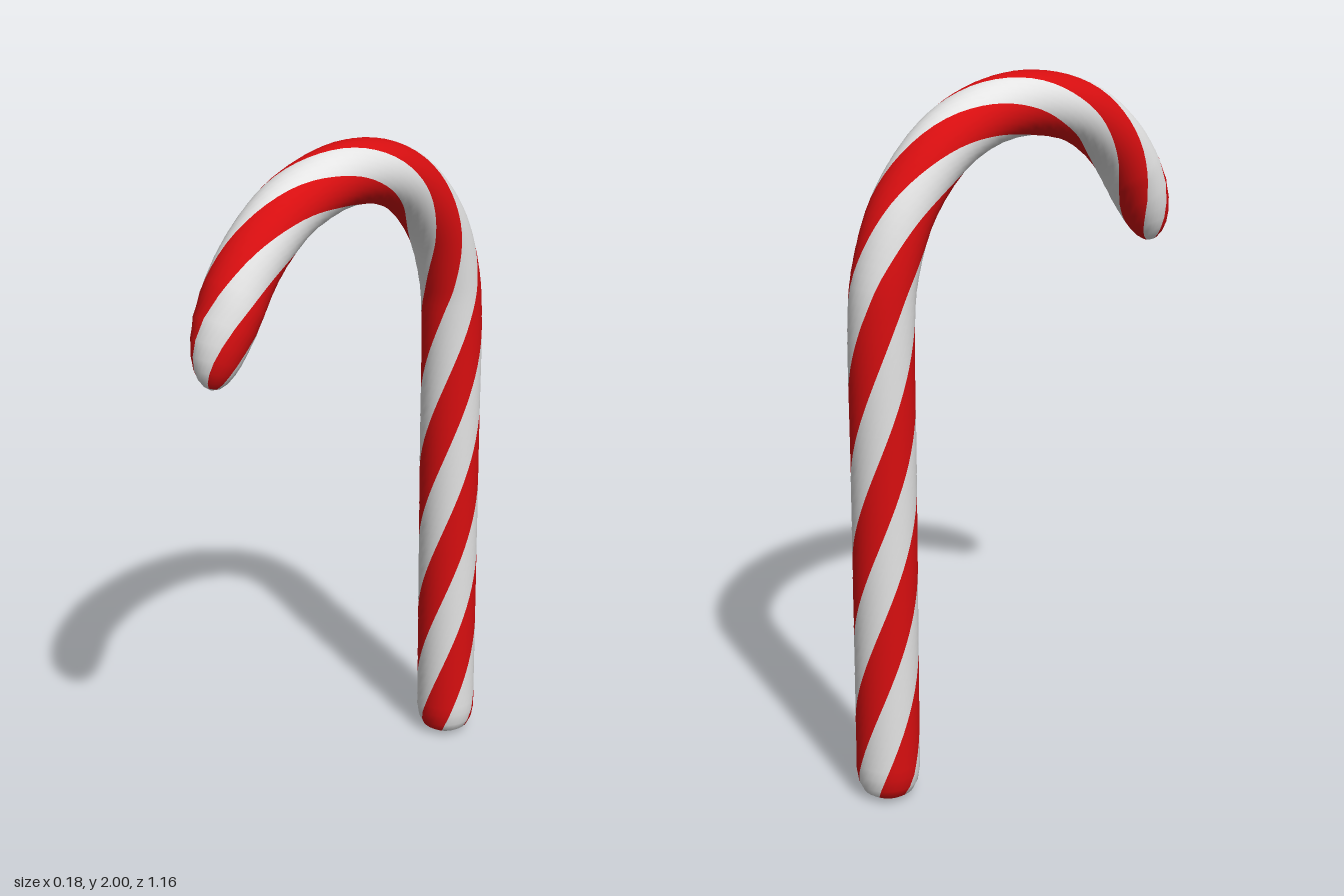
import * as THREE from 'three';

const STRIPES = 6;          // three red and three white, alternating
const PER_STRIPE = 5;       // facets across one stripe
const SIDES = STRIPES * PER_STRIPE;
const TWIST = THREE.MathUtils.degToRad(250);   // stripe turn per unit of length
const PHASE = THREE.MathUtils.degToRad(-34.5); // first edge of the first red stripe

// Centre line as [z, y]: straight stem, then the hook, slightly wider towards the tip
const PATH = [
  [-0.49, 0], [-0.485, 0.5], [-0.48, 1], [-0.476, 1.4], [-0.462, 1.515], [-0.4, 1.68],
  [-0.277, 1.82], [-0.146, 1.888], [0, 1.912], [0.13, 1.897], [0.255, 1.853],
  [0.385, 1.752], [0.475, 1.62], [0.512, 1.535], [0.535, 1.45],
];

// Rounded ends as [distance from the end, radius]
const FOOT = [[0, 0], [0.003, 0.035], [0.008, 0.055], [0.02, 0.072], [0.045, 0.084], [0.08, 0.09]];
const TIP = [[0.23, 0.088], [0.17, 0.085], [0.12, 0.077], [0.08, 0.067], [0.05, 0.055], [0.025, 0.04], [0.008, 0.022], [0, 0]];

export function createModel() {
  const red = new THREE.MeshStandardMaterial({ color: 0xd80e10 });
  red.name = 'candy red';
  const white = new THREE.MeshStandardMaterial({ color: 0xe4e4e4 });
  white.name = 'sugar white';

  const curve = new THREE.CatmullRomCurve3(PATH.map(([z, y]) => new THREE.Vector3(0, y, z)));
  curve.arcLengthDivisions = 600;
  const length = curve.getLength();

  // Rings along the cane: foot, body, tip
  const rings = FOOT.map(([s, r]) => [s, r]);
  const start = 0.08, end = length - 0.23, steps = 90;
  for (let i = 1; i < steps; i++) {
    const t = i / steps;
    rings.push([start + (end - start) * t, 0.09 - 0.002 * t]);
  }
  TIP.forEach(([d, r]) => rings.push([length - d, r]));

  // Ring vertices turn with the length, so each stripe follows its own helix
  const positions = [];
  const side = new THREE.Vector3(1, 0, 0);
  for (const [s, r] of rings) {
    const u = Math.min(s / length, 1);
    const centre = curve.getPointAt(u);
    const front = new THREE.Vector3().crossVectors(side, curve.getTangentAt(u));
    for (let j = 0; j < SIDES; j++) {
      const a = PHASE + TWIST * s + (j / SIDES) * Math.PI * 2;
      const p = centre.clone()
        .addScaledVector(front, Math.cos(a) * r)
        .addScaledVector(side, Math.sin(a) * r);
      positions.push(p.x, Math.max(p.y, 0), p.z);
    }
  }

  // Faces sorted by colour; the underside of the foot and the very tip are white
  const redFaces = [], whiteFaces = [];
  for (let i = 0; i < rings.length - 1; i++) {
    for (let j = 0; j < SIDES; j++) {
      const k = (j + 1) % SIDES;
      const a = i * SIDES + j, b = i * SIDES + k;
      const c = b + SIDES, d = a + SIDES;
      const cap = i < 2 || i > rings.length - 3;
      const isRed = !cap && Math.floor(j / PER_STRIPE) % 2 === 0;
      const faces = isRed ? redFaces : whiteFaces;
      if (i > 0) faces.push(a, b, c);
      if (i === 0) faces.push(a, c, d);
      else if (i < rings.length - 2) faces.push(a, c, d);
    }
  }

  const geometry = new THREE.BufferGeometry();
  geometry.setAttribute('position', new THREE.Float32BufferAttribute(positions, 3));
  geometry.setIndex([...redFaces, ...whiteFaces]);
  geometry.addGroup(0, redFaces.length, 0);
  geometry.addGroup(redFaces.length, whiteFaces.length, 1);
  geometry.computeVertexNormals();

  const cane = new THREE.Mesh(geometry, [red, white]);
  cane.name = 'stripedCane';
  const group = new THREE.Group();
  group.name = 'candyCane';
  group.add(cane);
  return group;
}
